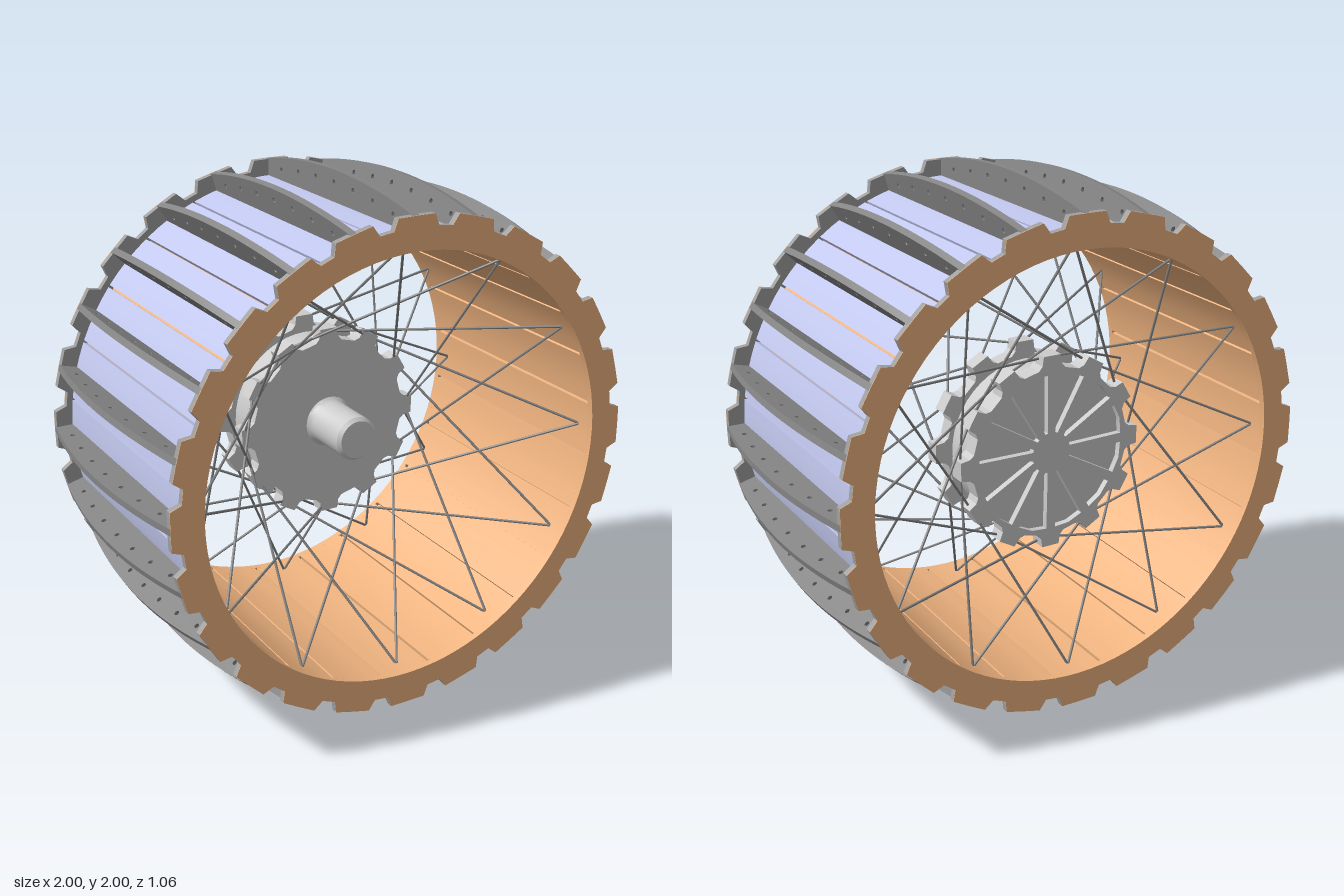
import * as THREE from 'three';
import { toCreasedNormals } from 'three/addons/utils/BufferGeometryUtils.js';

const mat = (color) => new THREE.MeshStandardMaterial({ color });
const grey = mat(0xcccccc), steel = mat(0x858585), ringGrey = mat(0xa0a0a0);
const orange = mat(0xf0b480), lavender = mat(0xc2c8ee);
const TAU = Math.PI * 2;
const polar = (r, a) => new THREE.Vector2(r * Math.cos(a), r * Math.sin(a));
const circle = (r, n = 96) => Array.from({ length: n }, (_, i) => polar(r, (i / n) * TAU));

// Repeats [radius, angle offset] steps n times around the centre
function repeated(n, steps) {
  const pts = [];
  for (let i = 0; i < n; i++) for (const [r, a] of steps) pts.push(polar(r, (i / n) * TAU + a));
  return pts;
}

// Extrudes an outline with holes from z0 to z1
function slab(outline, holes, z0, z1) {
  const shape = new THREE.Shape(outline);
  shape.holes = holes.map((h) => new THREE.Path(h));
  const g = new THREE.ExtrudeGeometry(shape, { depth: z1 - z0, bevelEnabled: false, curveSegments: 8 });
  return toCreasedNormals(g.translate(0, 0, z0), 0.4);
}

function add(parent, name, geometry, material) {
  const mesh = new THREE.Mesh(geometry, material);
  mesh.name = name;
  parent.add(mesh);
  return mesh;
}

// Curved tread bar with a row of bolt holes, lying in the x (radial), z plane
function treadBarGeometry() {
  const edge = (z) => 1 - 0.056 * (z / 0.53) ** 2;
  const outline = [new THREE.Vector2(0.86, -0.53)];
  for (let i = 0; i <= 20; i++) {
    const z = -0.53 + (1.06 * i) / 20;
    outline.push(new THREE.Vector2(edge(z), z));
  }
  outline.push(new THREE.Vector2(0.86, 0.53));
  const holes = [];
  for (let i = -3; i <= 3; i++) {
    const z = i * 0.133;
    holes.push(circle(0.01, 8).map((p) => p.add(new THREE.Vector2(edge(z) - 0.046, z))));
  }
  return slab(outline, holes, -0.0125, 0.0125).rotateX(Math.PI / 2);
}

function rod(parent, name, a, b, radius, material) {
  const mesh = add(parent, name, new THREE.CylinderGeometry(radius, radius, a.distanceTo(b), 6), material);
  mesh.position.copy(a).lerp(b, 0.5);
  mesh.quaternion.setFromUnitVectors(new THREE.Vector3(0, 1, 0), b.clone().sub(a).normalize());
}

function createDrum() {
  const drum = new THREE.Group();
  drum.name = 'drum';
  // Liner with narrow grooves along its inside
  const half = Math.PI / 24, steps = [];
  for (let i = 0; i <= 4; i++) steps.push([0.82, -half + 0.007 + (i / 4) * (2 * half - 0.014)]);
  steps.push([0.835, half - 0.007], [0.835, half + 0.007]);
  add(drum, 'liner', slab(circle(0.862), [repeated(24, steps)], -0.505, 0.505), orange);

  // Outer skin panels, split halfway between the tread bars
  const arc = (r) => Array.from({ length: 5 }, (_, i) => polar(r, (half - 0.005) * (i / 2 - 1)));
  const panel = slab([...arc(0.882), ...arc(0.858).reverse()], [], -0.505, 0.505);
  const bar = treadBarGeometry();
  for (let i = 0; i < 24; i++) {
    add(drum, 'skinPanel', panel, lavender).rotation.z = (i / 24) * TAU;
    add(drum, 'treadBar', bar, steel).rotation.z = (i / 24) * TAU;
  }

  // Toothed end rings with coloured faces and inner lips
  const teeth = repeated(24, [[0.905, -0.1], [0.947, -0.078], [0.945, 0], [0.947, 0.078], [0.905, 0.1]]);
  for (const side of [1, -1]) {
    const ring = new THREE.Group();
    ring.name = side > 0 ? 'frontRing' : 'backRing';
    add(ring, 'toothedRing', slab(teeth, [circle(0.828)], 0.505, 0.529), ringGrey);
    add(ring, 'ringLip', slab(circle(0.83), [circle(0.82)], 0.505, 0.53), orange);
    add(ring, 'ringFace', slab(teeth, [circle(0.82)], 0.529, 0.531), orange);
    if (side < 0) ring.rotation.y = Math.PI;
    drum.add(ring);
  }
  return drum;
}

function createHub() {
  const hub = new THREE.Group();
  hub.name = 'hub';
  const teeth = repeated(12, [[0.33, -0.17], [0.345, -0.12], [0.38, -0.095], [0.38, 0.095], [0.345, 0.12], [0.33, 0.17]]);
  // Sprocket plates joined by a core
  add(hub, 'frontSprocket', slab(teeth, [], -0.12, -0.06), grey);
  add(hub, 'core', slab(circle(0.31, 48), [], -0.25, -0.12), grey);
  add(hub, 'backSprocket', slab(teeth, [], -0.29, -0.25), grey);

  // Back cover with wedge pockets between radial ribs
  const pockets = [];
  for (let i = 0; i < 12; i++) {
    const a = ((i + 0.5) / 12) * TAU;
    pockets.push([[0.08, -0.07], [0.305, -0.2], [0.31, 0], [0.305, 0.2], [0.08, 0.07]].map(([r, d]) => polar(r, a + d)));
  }
  add(hub, 'backCover', slab(teeth, pockets, -0.315, -0.29), grey);

  // Axle stub with a small fillet and chamfer
  const profile = [[0.1, -0.06], [0.09, -0.05], [0.086, -0.035], [0.086, 0.145], [0.074, 0.16], [0, 0.16]];
  const stub = new THREE.LatheGeometry(profile.map(([x, y]) => new THREE.Vector2(x, y)), 40);
  add(hub, 'axleStub', toCreasedNormals(stub.rotateX(Math.PI / 2), 0.6), grey);
  return hub;
}

// Crossed spokes, one set to each sprocket
function createSpokes() {
  const spokes = new THREE.Group();
  spokes.name = 'spokes';
  for (const [rimZ, hubZ] of [[0.45, -0.09], [-0.45, -0.27]])
    for (let i = 0; i < 12; i++)
      for (const turn of [1, -1]) {
        const a = (i / 12) * TAU;
        const rim = polar(0.825, a), end = polar(0.36, a + (turn * TAU) / 6);
        rod(spokes, 'spoke', new THREE.Vector3(rim.x, rim.y, rimZ), new THREE.Vector3(end.x, end.y, hubZ), 0.005, steel);
      }
  return spokes;
}

export function createModel() {
  const wheel = new THREE.Group();
  wheel.name = 'wheel';
  wheel.add(createDrum(), createHub(), createSpokes());
  wheel.position.y = 1;
  const model = new THREE.Group();
  model.add(wheel);
  return model;
}
